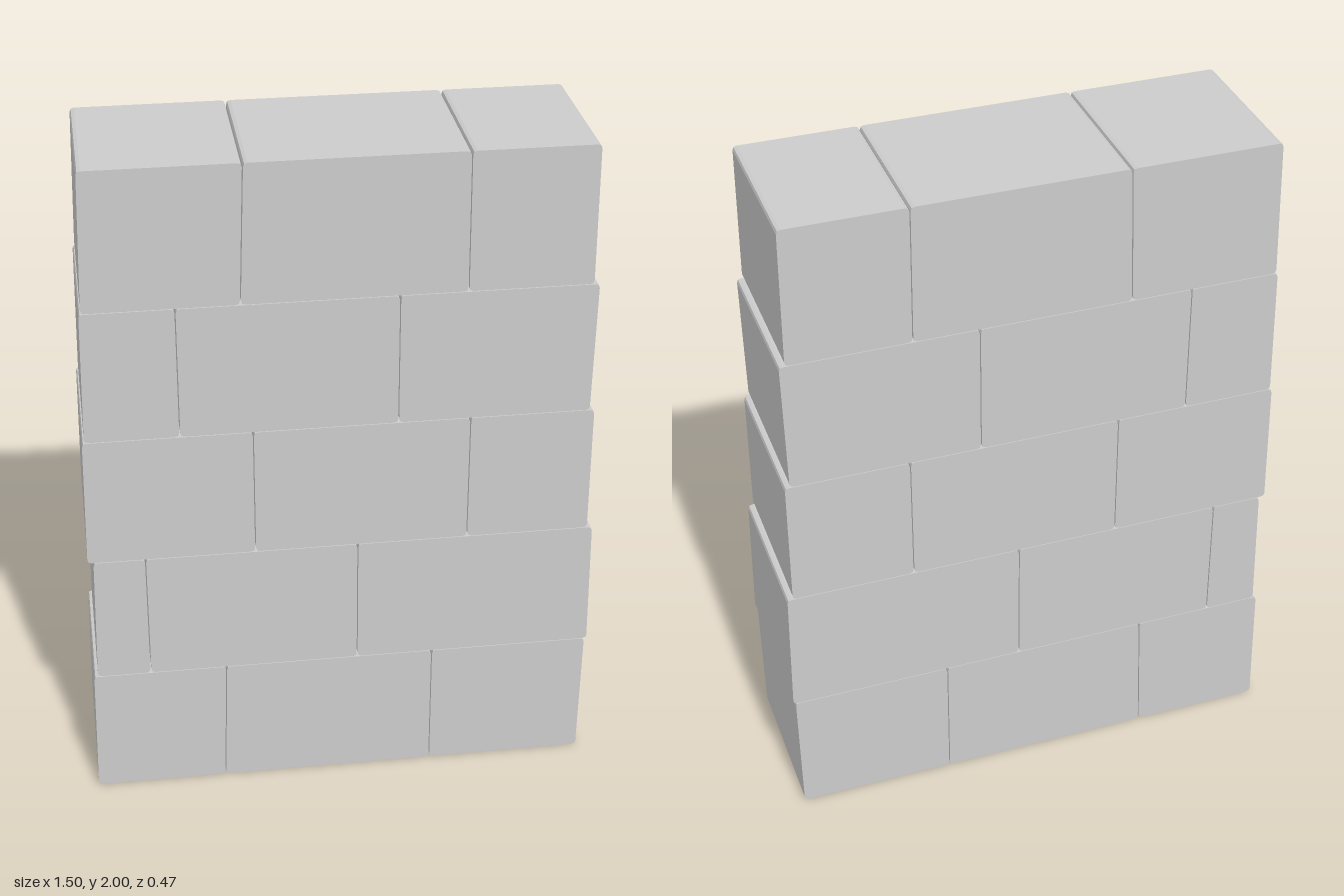
import * as THREE from 'three';

const DEPTH = 0.47;
const BEVEL = 0.012;
const GAP = 0.003;

// Each course: bottom and top height, then [x at bottom, x at top] of every vertical edge or joint
const COURSES = [
  { y: [0, 0.398], edges: [[-0.75, -0.743], [-0.362, -0.35], [0.27, 0.27], [0.735, 0.74]] },
  { y: [0.4, 0.795], edges: [[-0.732, -0.724], [-0.575, -0.575], [0.043, 0.043], [0.747, 0.741]] },
  { y: [0.797, 1.19], edges: [[-0.741, -0.735], [-0.256, -0.256], [0.365, 0.365], [0.725, 0.724]] },
  { y: [1.192, 1.587], edges: [[-0.729, -0.722], [-0.462, -0.462], [0.157, 0.157], [0.71, 0.716]] },
  { y: [1.589, 2], edges: [[-0.717, -0.706], [-0.284, -0.27], [0.347, 0.344], [0.7, 0.697]] },
];

// Four-sided block outline with small rounded corners
function blockShape(corners) {
  const shape = new THREE.Shape();
  corners.forEach((c, i) => {
    const prev = corners[(i + 3) % 4], next = corners[(i + 1) % 4];
    const a = c.clone().add(prev.clone().sub(c).setLength(BEVEL));
    const b = c.clone().add(next.clone().sub(c).setLength(BEVEL));
    if (i === 0) shape.moveTo(a.x, a.y);
    else shape.lineTo(a.x, a.y);
    shape.quadraticCurveTo(c.x, c.y, b.x, b.y);
  });
  shape.closePath();
  return shape;
}

export function createModel() {
  const wall = new THREE.Group();
  wall.name = 'blockWall';
  const stone = new THREE.MeshStandardMaterial({ color: 0xcccccc, flatShading: true });

  COURSES.forEach(({ y: [y0, y1], edges }, row) => {
    const course = new THREE.Group();
    course.name = `course${row + 1}`;
    for (let i = 0; i < edges.length - 1; i++) {
      // Leave a hairline joint between neighbours only
      const l = i > 0 ? GAP / 2 : 0;
      const r = i < edges.length - 2 ? GAP / 2 : 0;
      const [lo, hi] = [edges[i], edges[i + 1]];
      const shape = blockShape([
        new THREE.Vector2(lo[0] + l, y0),
        new THREE.Vector2(hi[0] - r, y0),
        new THREE.Vector2(hi[1] - r, y1),
        new THREE.Vector2(lo[1] + l, y1),
      ]);
      const geometry = new THREE.ExtrudeGeometry(shape, { depth: DEPTH, bevelEnabled: false, curveSegments: 2 });
      geometry.translate(0, 0, -DEPTH / 2);
      const block = new THREE.Mesh(geometry, stone);
      block.name = `block${row + 1}_${i + 1}`;
      course.add(block);
    }
    wall.add(course);
  });
  return wall;
}
